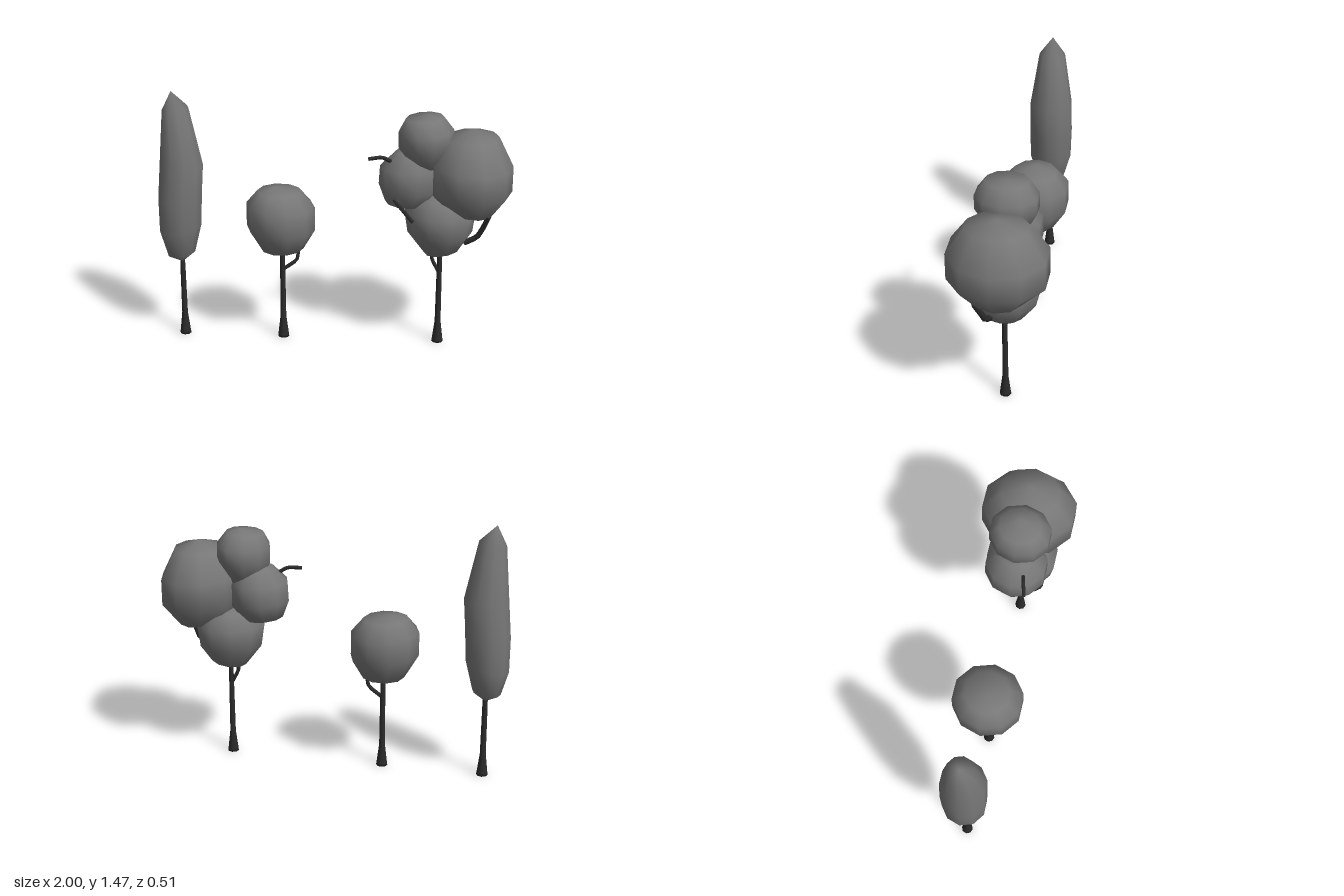
import * as THREE from 'three';

const leafMat = new THREE.MeshStandardMaterial({ color: 0x777777 });
const woodMat = new THREE.MeshStandardMaterial({ color: 0x2c2c2c, side: THREE.DoubleSide });

const SIDES = 10;

// Leaf crown: tilted rings [leftX, leftY, rightX, rightY] from top to bottom, closed by two poles
function crown(name, top, rings, bottom, depth = 1.03) {
  const pos = [top[0], top[1], 0];
  const index = [];
  for (const [lx, ly, rx, ry] of rings) {
    for (let j = 0; j < SIDES; j++) {
      const a = (j / SIDES) * Math.PI * 2;
      const c = Math.cos(a);
      pos.push((lx + rx) / 2 + ((rx - lx) / 2) * c,
        (ly + ry) / 2 + ((ry - ly) / 2) * c,
        ((rx - lx) / 2) * depth * Math.sin(a));
    }
  }
  pos.push(bottom[0], bottom[1], 0);
  const at = (i, j) => 1 + i * SIDES + (j % SIDES);
  const last = rings.length - 1;
  for (let j = 0; j < SIDES; j++) {
    index.push(0, at(0, j + 1), at(0, j));
    for (let i = 0; i < last; i++) {
      index.push(at(i, j), at(i, j + 1), at(i + 1, j));
      index.push(at(i, j + 1), at(i + 1, j + 1), at(i + 1, j));
    }
    index.push(1 + rings.length * SIDES, at(last, j), at(last, j + 1));
  }
  const geo = new THREE.BufferGeometry();
  geo.setAttribute('position', new THREE.Float32BufferAttribute(pos, 3));
  geo.setIndex(index);
  geo.computeVertexNormals();
  const mesh = new THREE.Mesh(geo, leafMat);
  mesh.name = name;
  return mesh;
}

// Trunk with a flared foot
function trunk(x, height) {
  const profile = [[0, 0], [0.033, 0], [0.031, 0.015], [0.017, 0.13], [0.015, 0.42], [0.013, height], [0, height]];
  const geo = new THREE.LatheGeometry(profile.map(([r, y]) => new THREE.Vector2(r, y)), 8);
  const mesh = new THREE.Mesh(geo, woodMat);
  mesh.name = 'trunk';
  mesh.position.x = x;
  return mesh;
}

// Crooked branch through a few points
function branch(name, points, radius = 0.011) {
  const curve = new THREE.CatmullRomCurve3(points.map((p) => new THREE.Vector3(...p)), false, 'catmullrom', 0.1);
  const mesh = new THREE.Mesh(new THREE.TubeGeometry(curve, 8, radius, 6), woodMat);
  mesh.name = name;
  return mesh;
}

function tree(name, ...parts) {
  const group = new THREE.Group();
  group.name = name;
  group.add(...parts);
  return group;
}

export function createModel() {
  const model = new THREE.Group();
  model.name = 'trees';

  // Tall slender tree
  model.add(tree('tallTree',
    trunk(-0.876, 0.52),
    crown('tallCrown', [-0.9, 1.47], [
      [-0.955, 1.36, -0.805, 1.38],
      [-0.98, 1.07, -0.735, 1.05],
      [-1, 0.84, -0.748, 0.87],
      [-1, 0.64, -0.757, 0.69],
      [-0.96, 0.5, -0.8, 0.52],
    ], [-0.875, 0.455])));

  // Small round tree
  model.add(tree('roundTree',
    trunk(-0.293, 0.58),
    branch('sideBranch', [[-0.29, 0.425, 0], [-0.21, 0.485, 0], [-0.192, 0.6, 0]]),
    crown('roundCrown', [-0.334, 0.927], [
      [-0.43, 0.905, -0.18, 0.9],
      [-0.495, 0.83, -0.105, 0.81],
      [-0.495, 0.695, -0.105, 0.67],
      [-0.414, 0.556, -0.17, 0.56],
    ], [-0.297, 0.513])));

  // Large tree with four leaf clusters
  model.add(tree('clusterTree',
    trunk(0.607, 0.6),
    crown('lowerCluster', [0.6, 0.93], [
      [0.47, 0.9, 0.73, 0.9],
      [0.4, 0.81, 0.8, 0.81],
      [0.42, 0.68, 0.785, 0.69],
      [0.516, 0.556, 0.72, 0.59],
    ], [0.607, 0.533]),
    crown('largeCluster', [0.773, 1.289], [
      [0.62, 1.24, 0.912, 1.25],
      [0.527, 1.107, 0.997, 1.08],
      [0.527, 0.936, 0.997, 0.936],
      [0.65, 0.82, 0.896, 0.797],
    ], [0.77, 0.765], 1.15),
    crown('sideCluster', [0.41, 1.17], [
      [0.345, 1.155, 0.53, 1.15],
      [0.26, 1.07, 0.59, 1.07],
      [0.254, 0.963, 0.59, 0.94],
      [0.29, 0.865, 0.52, 0.85],
    ], [0.4, 0.82], 1.05),
    crown('topCluster', [0.53, 1.368], [
      [0.398, 1.342, 0.607, 1.358],
      [0.36, 1.267, 0.666, 1.283],
      [0.36, 1.18, 0.666, 1.2],
      [0.41, 1.08, 0.61, 1.08],
    ], [0.51, 1.04], 1.12),
    branch('trunkBranch', [[0.607, 0.43, 0], [0.563, 0.515, 0], [0.563, 0.62, 0]]),
    branch('rightBranch', [[0.74, 0.64, 0.05], [0.81, 0.68, 0.06], [0.84, 0.74, 0.075], [0.868, 0.82, 0.105]], 0.016),
    branch('frontBranch', [[0.345, 0.91, 0.12], [0.39, 0.865, 0.15], [0.45, 0.79, 0.145]]),
    branch('upperBranch', [[0.2, 1.133, 0.09], [0.275, 1.138, 0.07], [0.36, 1.09, 0.05]])));

  return model;
}
